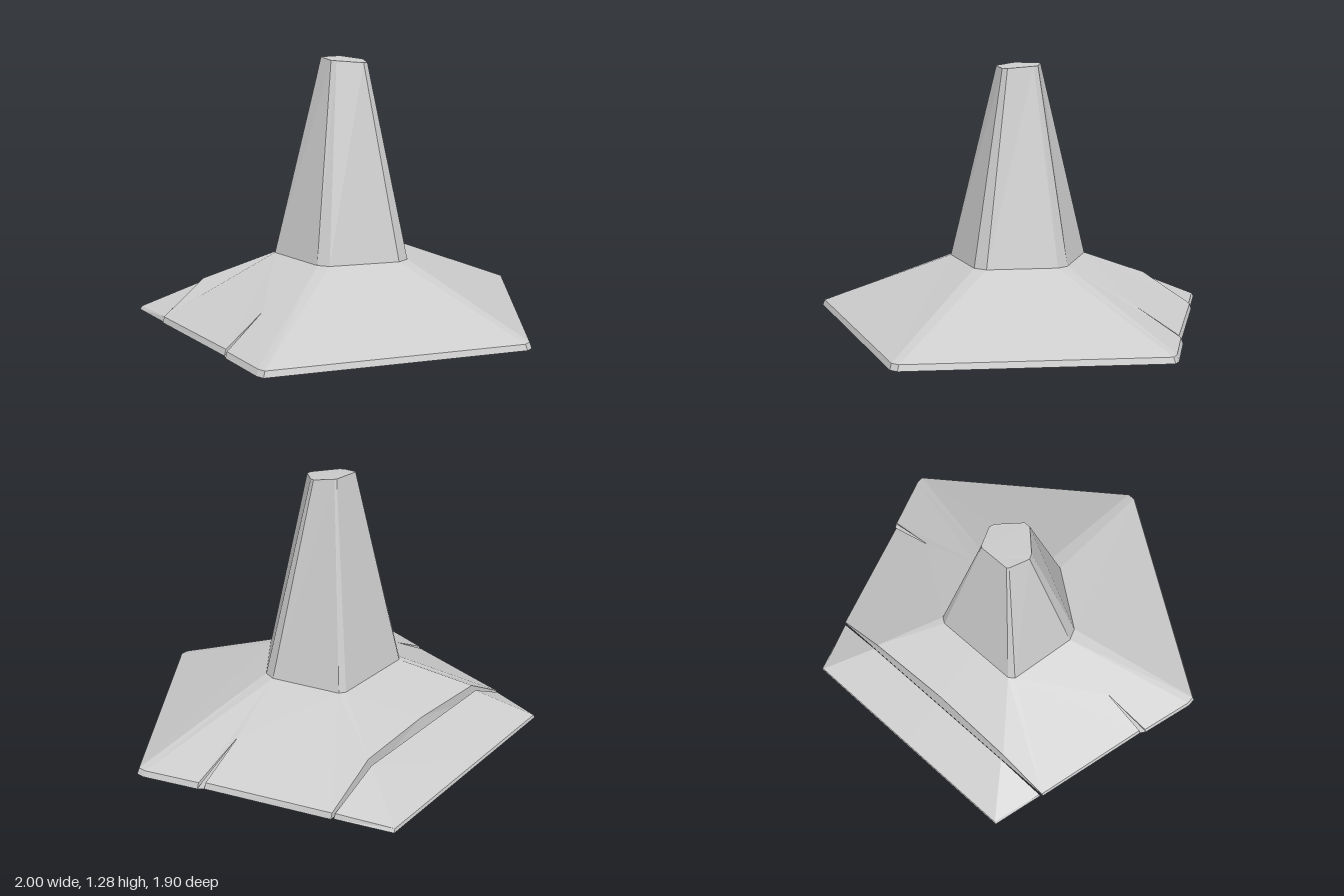
import * as THREE from 'three';

const material = new THREE.MeshStandardMaterial({ color: 0xcccccc, flatShading: true, side: THREE.DoubleSide });

// Builds a faceted mesh from the polygons of its +x half, mirrored to -x
function mirroredShell(name, polygons) {
  const pos = [];
  const fan = (poly) => {
    for (let i = 1; i < poly.length - 1; i++) pos.push(...poly[0], ...poly[i], ...poly[i + 1]);
  };
  for (const poly of polygons) {
    fan(poly);
    fan(poly.map(([x, y, z]) => [-x, y, z]).reverse());
  }
  const geo = new THREE.BufferGeometry();
  geo.setAttribute('position', new THREE.Float32BufferAttribute(pos, 3));
  geo.computeVertexNormals();
  const mesh = new THREE.Mesh(geo, material);
  mesh.name = name;
  return mesh;
}

const mid = ([, y, z]) => [0, y, z];
const raise = ([x, , z]) => [x * 0.988, 0.028, z > 0 ? z * 0.988 : z];

// Half ring where the tower meets the base, from front to back
const collar = [[0.035, 0.31, 0.25], [0.31, 0.31, 0.04], [0.33, 0.31, -0.02], [0.25, 0.31, -0.36], [0.22, 0.31, -0.38]];

function createBase() {
  const [c0, c1, c2, c3, c4] = collar;
  // Ground outline: front tip, side corner, side slit, rear cut
  const low = [[0.02, 0, 0.948], [1, 0, 0.24], [1, 0, 0.2], [0.915, 0, -0.065], [0.895, 0, -0.09], [0.72, 0, -0.68]];
  const up = low.map(raise);
  const slit = [0.65, 0.152, -0.077];
  const ridge = [0.445, 0.168, -0.677], rearTop = [0, 0.178, -0.665];
  const apex = [0, 0.2, -0.14];
  const rim = [[0, 1], [1, 2], [2, 3], [4, 5]].map(([a, b]) => [low[a], low[b], up[b], up[a]]);
  return mirroredShell('base', [
    // Sloping roof
    [mid(c0), mid(up[0]), up[0], c0],
    [c0, up[0], up[1], c1],
    [c1, up[1], up[2], c2],
    [c2, up[2], up[3], slit],
    [c2, slit, c3],
    [slit, up[4], up[5], c3],
    [c3, up[5], ridge, c4],
    [c4, ridge, rearTop, mid(c4)],
    // Rim, slit walls and rear wall
    ...rim,
    [mid(low[0]), low[0], up[0], mid(up[0])],
    [low[3], slit, up[3]],
    [low[4], up[4], slit],
    [low[5], mid(low[5]), rearTop, ridge, up[5]],
    // Hollow underside with flat corner pieces
    [low[0], low[3], low[2], low[1]],
    [low[0], low[4], low[3]],
    [apex, low[4], low[0], mid(low[0])],
    [apex, low[5], low[4]],
    [apex, mid(low[5]), low[5]],
  ]);
}

function createRearWedge() {
  const fL = [0.71, 0, -0.688], bL = [0.63, 0, -0.95];
  const fU = [0.702, 0.025, -0.69], bU = [0.62, 0.016, -0.946];
  const ridge = [0.45, 0.145, -0.698];
  return mirroredShell('rearWedge', [
    [ridge, bU, mid(bU), mid(ridge)],
    [ridge, fU, bU],
    [fL, bL, bU, fU],
    [bL, mid(bL), mid(bU), bU],
    [mid(fL), fL, fU, ridge, mid(ridge)],
    [fL, mid(fL), mid(bL), bL],
  ]);
}

function createTower() {
  // Half ring of the slanted top
  const top = [[0.015, 1.26, 0.02], [0.107, 1.27, -0.075], [0.117, 1.272, -0.1], [0.08, 1.284, -0.192], [0.072, 1.285, -0.2]];
  const close = (ring) => [mid(ring[0]), ...ring, mid(ring[4])];
  const a = close(collar), b = close(top);
  const polygons = [b];
  for (let i = 0; i < a.length - 1; i++) polygons.push([a[i], a[i + 1], b[i + 1], b[i]]);
  return mirroredShell('tower', polygons);
}

export function createModel() {
  const group = new THREE.Group();
  group.name = 'pentagonTower';
  group.add(createBase(), createRearWedge(), createTower());
  return group;
}
